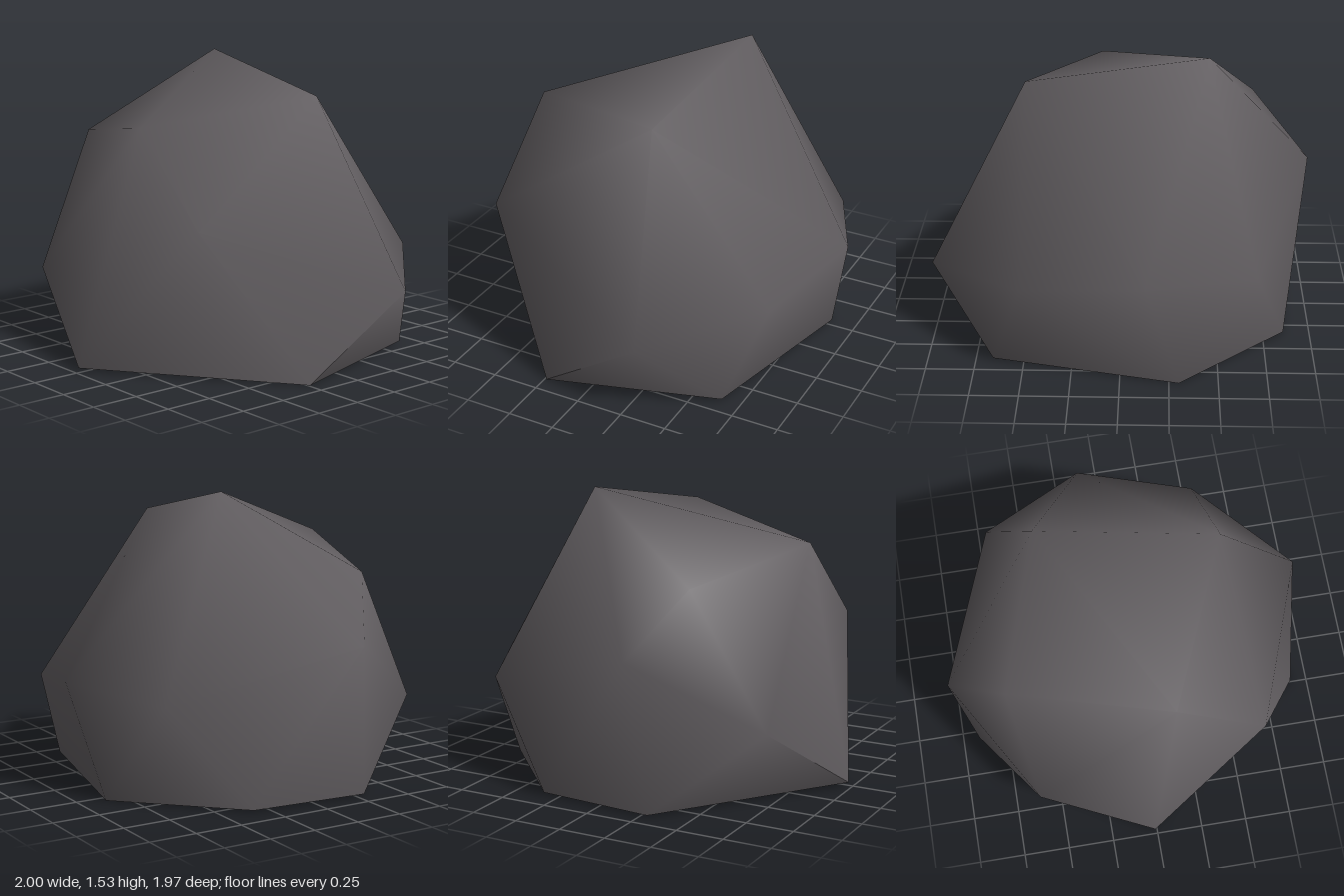
import * as THREE from 'three';
import { ConvexGeometry } from 'three/addons/geometries/ConvexGeometry.js';

// Corners of the boulder, from the ground up
const CORNERS = [
  // foot
  [0.91, 0, 0.24], [-0.01, 0.02, 0.98], [-0.91, 0.01, 0.29],
  [-0.86, 0.01, -0.34], [-0.3, 0, -0.86], [0.66, 0.01, -0.65],
  // belly
  [1, 0.4, -0.33], [0.61, 0.78, 0.7], [-0.61, 0.41, 0.79], [-1, 0.79, 0.21],
  [-0.69, 0.53, -0.74], [-0.13, 0.59, -0.99], [0.5, 0.5, -0.83],
  // crown
  [0.5, 1.36, -0.17], [0.13, 1.23, 0.68], [-0.7, 1.11, 0.41], [-0.44, 1.53, -0.27],
];

// Smooth normals, split only where a sharp edge fully separates the faces round a corner
function smoothBySharpEdges(geometry, maxAngle) {
  const pos = geometry.attributes.position;
  const minDot = Math.cos(maxAngle);
  const key = (v) => v.toArray().map((n) => n.toFixed(3)).join();
  const faces = [];
  const around = new Map();
  for (let i = 0; i < pos.count; i += 3) {
    const p = [0, 1, 2].map((k) => new THREE.Vector3().fromBufferAttribute(pos, i + k));
    const normal = new THREE.Triangle(...p).getNormal(new THREE.Vector3());
    const face = { p, normal, keys: p.map(key) };
    faces.push(face);
    for (const k of face.keys) around.set(k, [...(around.get(k) || []), face]);
  }
  const shareEdge = (a, b) => a.keys.filter((k) => b.keys.includes(k)).length >= 2;
  const normals = [];
  for (const face of faces) {
    for (const k of face.keys) {
      // walk across the soft edges at this corner
      const fan = [face];
      for (const f of fan) {
        for (const g of around.get(k)) {
          if (!fan.includes(g) && shareEdge(f, g) && f.normal.dot(g.normal) > minDot) fan.push(g);
        }
      }
      const sum = new THREE.Vector3();
      for (const f of fan) {
        const c = f.keys.indexOf(k);
        const u = f.p[(c + 1) % 3].clone().sub(f.p[c]);
        const v = f.p[(c + 2) % 3].clone().sub(f.p[c]);
        sum.addScaledVector(f.normal, u.angleTo(v));
      }
      normals.push(...sum.normalize().toArray());
    }
  }
  geometry.setAttribute('normal', new THREE.Float32BufferAttribute(normals, 3));
  return geometry;
}

export function createModel() {
  const stone = new THREE.MeshStandardMaterial({ color: 0x625e61 });
  stone.name = 'darkStone';

  const hull = new ConvexGeometry(CORNERS.map((c) => new THREE.Vector3(...c)));
  const boulder = new THREE.Mesh(smoothBySharpEdges(hull, THREE.MathUtils.degToRad(50)), stone);
  boulder.name = 'boulder';

  const group = new THREE.Group();
  group.name = 'rock';
  group.add(boulder);
  return group;
}
